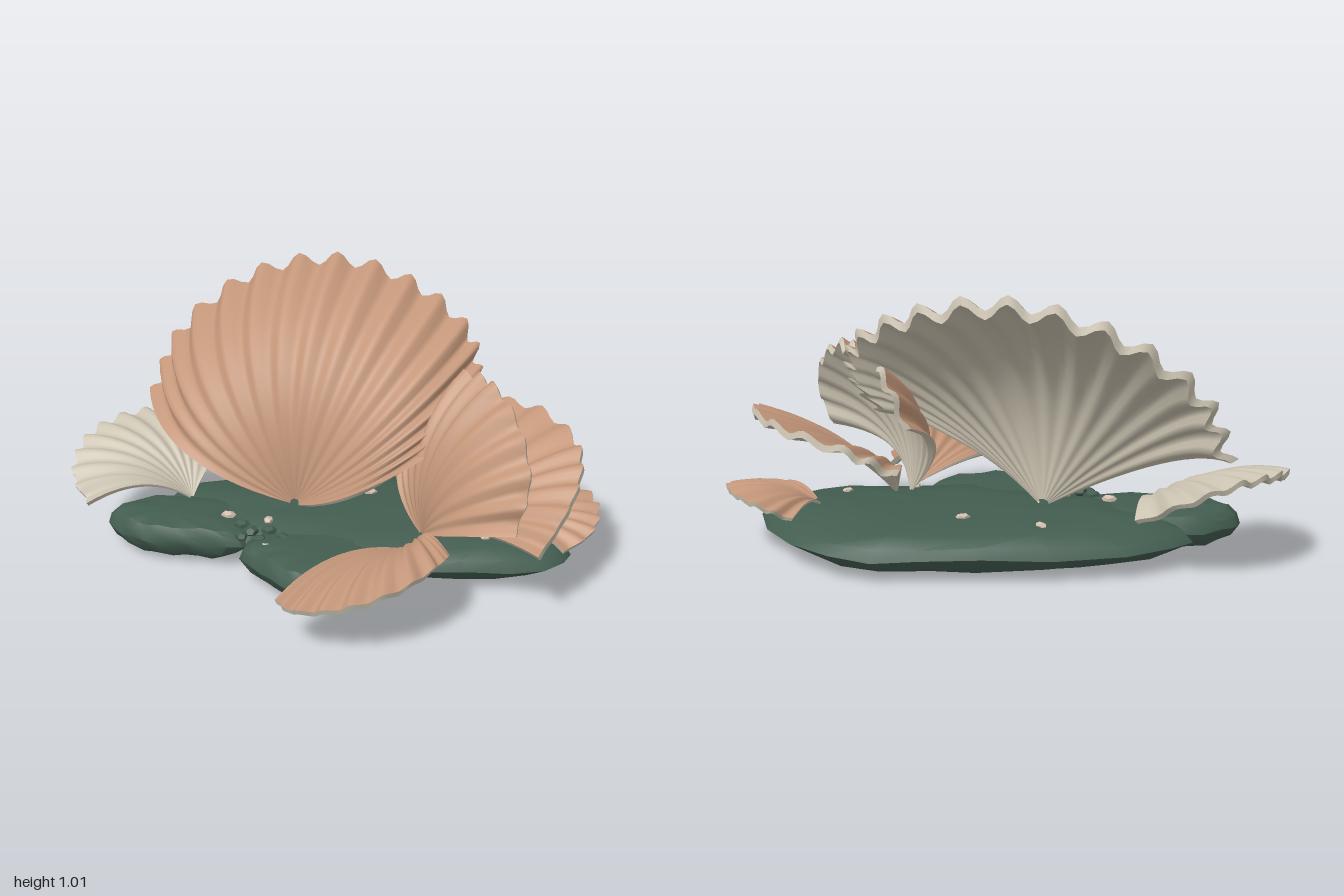
import * as THREE from 'three';
import { toCreasedNormals } from 'three/addons/utils/BufferGeometryUtils.js';

const V = (x, y, z) => new THREE.Vector3(x, y, z);

const mat = (name, color, side = THREE.FrontSide) => {
  const m = new THREE.MeshStandardMaterial({ color, side });
  m.name = name;
  return m;
};

const mats = {
  orange: mat('shellOrange', 0xc4977a, THREE.DoubleSide),
  cream: mat('shellCream', 0xcac2b0, THREE.DoubleSide),
  green: mat('rockGreen', 0x435d50, THREE.DoubleSide),
  pebble: mat('pebblePink', 0xd3bfae),
};

// Surface from a rule fn(i, j) giving a point, for i in 0..nu and j in 0..nv
function grid(nu, nv, fn) {
  const pos = [], index = [];
  for (let j = 0; j <= nv; j++)
    for (let i = 0; i <= nu; i++) pos.push(...fn(i, j).toArray());
  for (let j = 0; j < nv; j++)
    for (let i = 0; i < nu; i++) {
      const a = j * (nu + 1) + i, b = a + 1, c = a + nu + 1, d = c + 1;
      index.push(a, c, b, b, c, d);
    }
  const g = new THREE.BufferGeometry();
  g.setAttribute('position', new THREE.Float32BufferAttribute(pos, 3));
  g.setIndex(index);
  g.computeVertexNormals();
  return g;
}

// Ribbed fan: spreads from base to a curved rim and bulges toward `up`
function fanShell({ name, base, rim, up, bulge, ribs, amp, thick, top = mats.orange }) {
  const b = V(...base), n = V(...up).normalize();
  const curve = new THREE.CatmullRomCurve3(rim.map(p => V(...p)));
  const nu = ribs * 6, nv = 14;

  const smooth = (u, s) => {
    const chord = curve.getPoint(u).sub(b);
    const c = chord.clone().normalize();
    const lift = n.clone().addScaledVector(c, -n.dot(c)).normalize();
    return b.clone().addScaledVector(chord, s).addScaledVector(lift, bulge * 4 * s * (1 - s));
  };
  const normal = (u, s) => {
    const u0 = Math.max(0, u - 0.02), u1 = Math.min(1, u + 0.02);
    const s0 = Math.max(0.02, s - 0.02), s1 = Math.min(1, s + 0.02);
    const du = smooth(u1, s).sub(smooth(u0, s)), ds = smooth(u, s1).sub(smooth(u, s0));
    const r = du.cross(ds).normalize();
    return r.dot(n) < 0 ? r.negate() : r;
  };

  const front = [], back = [];
  for (let j = 0; j <= nv; j++) {
    const s = 0.02 + 0.98 * j / nv;
    front.push([]); back.push([]);
    for (let i = 0; i <= nu; i++) {
      const u = i / nu, N = normal(u, s);
      const wave = Math.cos(u * ribs * Math.PI * 2);
      const p = smooth(u, s).addScaledVector(N, amp * s * wave);
      p.addScaledVector(smooth(u, s).sub(b), 0.016 * s * wave);
      front[j].push(p);
      back[j].push(p.clone().addScaledVector(N, -thick * (0.2 + 0.8 * s)));
    }
  }

  const g = new THREE.Group();
  g.name = name;
  const add = (label, geo, m) => {
    const mesh = new THREE.Mesh(geo, m);
    mesh.name = label;
    g.add(mesh);
  };
  add('upperFace', grid(nu, nv, (i, j) => front[j][i]), top);
  add('underFace', grid(nu, nv, (i, j) => back[j][nu - i]), mats.cream);
  add('rim', grid(nu, 1, (i, j) => (j ? back : front)[nv][i]), mats.cream);
  for (const e of [0, nu])
    add('sideEdge', grid(1, nv, (i, j) => (i ? back : front)[j][e]), mats.cream);
  return g;
}

// Flat boulder with tapered edges, lofted from a ground outline
function rock(name, outline, y0, y1) {
  const curve = new THREE.CatmullRomCurve3(outline.map(([x, z]) => V(x, 0, z)), true);
  const mid = V(0, 0, 0);
  outline.forEach(([x, z]) => mid.add(V(x, 0, z).divideScalar(outline.length)));
  const levels = [[0, 0], [0.4, 0.01], [0.72, 0.08], [0.9, 0.27], [1, 0.52], [0.95, 0.75], [0.83, 0.92], [0.5, 1], [0, 1]];
  const n = 22;
  const geo = grid(n, levels.length - 1, (i, j) => {
    const [k, h] = levels[j];
    const p = curve.getPoint((i % n) / n).sub(mid).multiplyScalar(k).add(mid);
    const wobble = 0.006 * k * Math.sin((i % n) * 2.1 + j * 1.3);
    return p.setY(Math.max(0, y0 + (y1 - y0) * h + wobble));
  });
  const mesh = new THREE.Mesh(toCreasedNormals(geo, 0.6), mats.green);
  mesh.name = name;
  return mesh;
}

export function createModel() {
  const model = new THREE.Group();
  model.name = 'shellCluster';

  // Base boulders
  model.add(
    rock('mainRock', [[0.9, -0.16], [0.85, -0.02], [0.66, 0.06], [0.36, 0.14], [0.05, 0.18], [-0.3, 0.1], [-0.56, 0],
      [-0.68, -0.16], [-0.56, -0.33], [-0.18, -0.48], [0.2, -0.56], [0.45, -0.6], [0.73, -0.43]], 0.005, 0.17),
    rock('leftRock', [[-0.83, 0.06], [-0.75, 0.14], [-0.62, 0.18], [-0.45, 0.16], [-0.27, 0.13], [-0.28, -0.1],
      [-0.6, -0.14], [-0.78, -0.05]], 0.02, 0.165),
    rock('frontRock', [[-0.26, 0.2], [-0.16, 0.28], [-0.03, 0.37], [0.1, 0.375], [0.25, 0.31], [0.36, 0.2],
      [0.3, 0.0], [-0.2, 0.0]], 0.02, 0.16),
  );

  // Shells
  model.add(
    fanShell({
      name: 'largeShell', base: [-0.14, 0.17, -0.12], up: [0, 0, 1], bulge: 0.2, ribs: 16, amp: 0.014, thick: 0.03,
      rim: [[-0.81, 0.45, -0.41], [-0.73, 0.68, -0.52], [-0.48, 0.89, -0.635], [-0.14, 0.985, -0.645], [0.2, 0.935, -0.575],
        [0.45, 0.8, -0.43], [0.5, 0.65, -0.31], [0.44, 0.5, -0.18]],
    }),
    fanShell({
      name: 'tallSideShell', base: [0.37, 0.16, -0.02], up: [-0.7, 0.2, 0.6], bulge: 0.1, ribs: 10, amp: 0.012, thick: 0.024,
      rim: [[0.74, 0.34, 0.24], [0.77, 0.5, 0.17], [0.71, 0.645, 0.03], [0.59, 0.735, -0.12], [0.49, 0.73, -0.22],
        [0.37, 0.65, -0.31], [0.3, 0.47, -0.3]],
    }),
    fanShell({
      name: 'wideSideShell', base: [0.42, 0.16, -0.03], up: [-0.2, 1, 0.1], bulge: 0.05, ribs: 11, amp: 0.01, thick: 0.024,
      rim: [[0.82, 0.27, 0.24], [0.89, 0.38, 0.12], [0.92, 0.46, -0.05], [0.88, 0.505, -0.24], [0.68, 0.515, -0.5],
        [0.42, 0.47, -0.59], [0.27, 0.39, -0.54]],
    }),
    fanShell({
      name: 'smallSideShell', base: [0.65, 0.14, -0.2], up: [-0.2, 1, 0], bulge: 0.045, ribs: 9, amp: 0.008, thick: 0.017,
      rim: [[0.88, 0.16, -0.03], [0.96, 0.19, -0.12], [0.985, 0.215, -0.22], [0.96, 0.235, -0.33], [0.87, 0.24, -0.44],
        [0.76, 0.22, -0.49], [0.67, 0.18, -0.47]],
    }),
    fanShell({
      name: 'frontShell', base: [0.38, 0.16, 0.1], up: [-0.5, 0.8, -0.2], bulge: 0.075, ribs: 10, amp: 0.009, thick: 0.02,
      rim: [[0.01, 0.175, 0.59], [0.06, 0.18, 0.64], [0.17, 0.195, 0.65], [0.3, 0.23, 0.63], [0.43, 0.265, 0.54],
        [0.505, 0.275, 0.4], [0.515, 0.24, 0.27], [0.5, 0.2, 0.18]],
    }),
    fanShell({
      name: 'paleShell', base: [-0.54, 0.16, -0.08], up: [0.2, 1, 0], bulge: 0.07, ribs: 10, amp: 0.009, thick: 0.02,
      rim: [[-0.85, 0.22, 0.18], [-0.94, 0.27, 0.1], [-0.985, 0.315, -0.02], [-0.985, 0.35, -0.15], [-0.93, 0.37, -0.28],
        [-0.83, 0.37, -0.39], [-0.68, 0.31, -0.42], [-0.5, 0.21, -0.36]], top: mats.cream,
    }),
  );

  // Loose stones: x, y, z, radius
  const stones = (name, list, m) => list.forEach(([x, y, z, r], i) => {
    const s = new THREE.Mesh(new THREE.DodecahedronGeometry(r), m);
    s.name = name;
    s.position.set(x, y, z);
    s.scale.set(1.2, 0.6, 0.9);
    s.rotation.y = i * 1.7;
    model.add(s);
  });
  stones('greenStone', [[-0.29, 0.16, 0.07, 0.028], [-0.24, 0.16, 0.11, 0.03], [-0.18, 0.16, 0.09, 0.026],
    [-0.27, 0.15, 0.14, 0.026], [-0.2, 0.15, 0.15, 0.028], [-0.12, 0.16, 0.12, 0.022]], mats.green);
  stones('paleStone', [[-0.36, 0.165, 0.02, 0.024], [-0.2, 0.17, 0.03, 0.02], [-0.16, 0.15, 0.19, 0.017],
    [0.37, 0.165, 0.05, 0.02], [0.11, 0.17, -0.3, 0.022], [-0.17, 0.165, -0.33, 0.022], [0.6, 0.165, -0.06, 0.018]], mats.pebble);

  return model;
}
